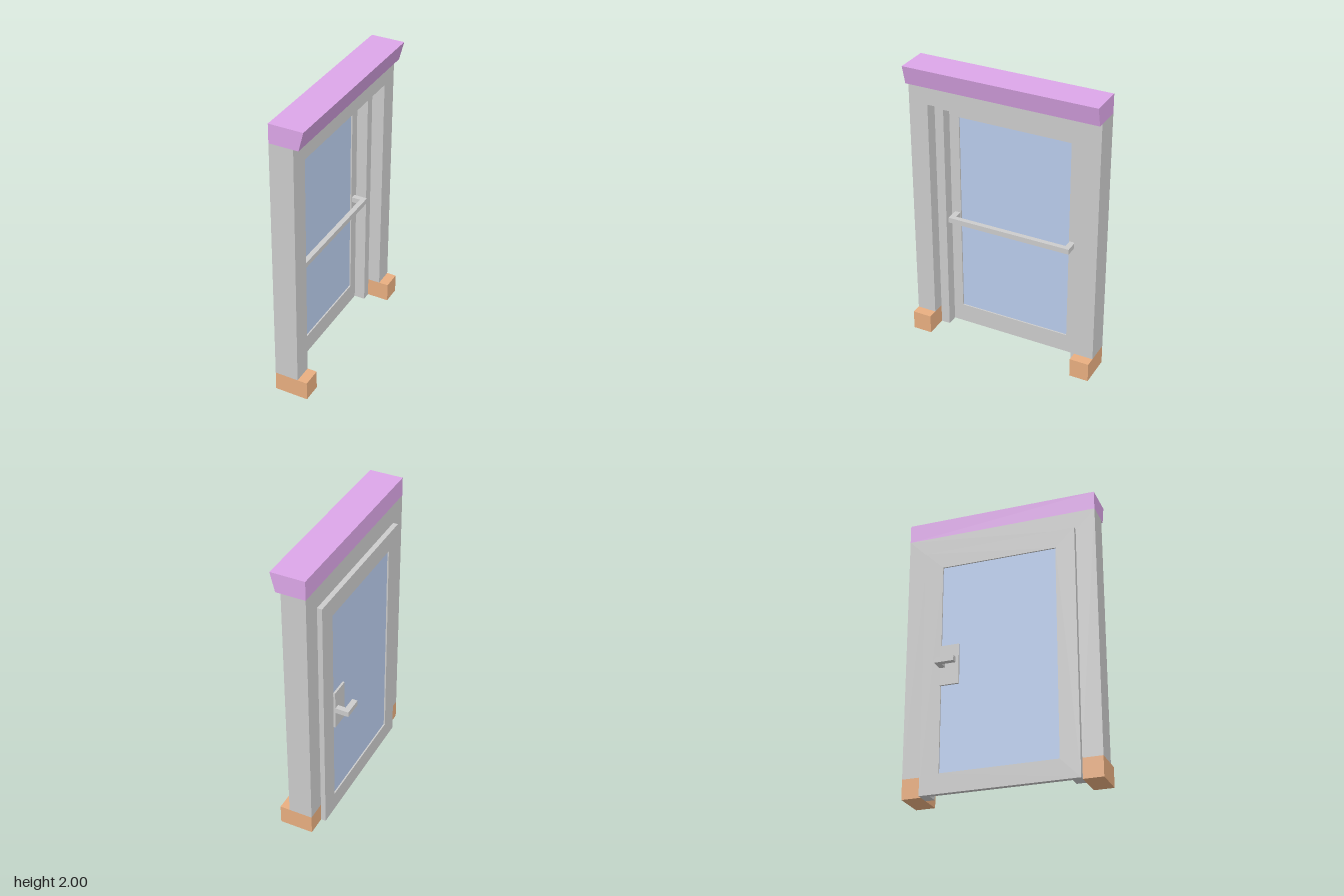
import * as THREE from 'three';

const grey = new THREE.MeshStandardMaterial({ color: 0xcccccc });
const purple = new THREE.MeshStandardMaterial({ color: 0xdca6e8 });
const orange = new THREE.MeshStandardMaterial({ color: 0xe8ae80 });
const blue = new THREE.MeshStandardMaterial({ color: 0xb8cbeb });

export function createModel() {
  const door = new THREE.Group();
  door.name = 'door';

  const add = (name, geometry, material = grey) => {
    const mesh = new THREE.Mesh(geometry, material);
    mesh.name = name;
    door.add(mesh);
  };

  // Box given by its limits on each axis
  const box = (name, [x0, x1], [y0, y1], [z0, z1], material) => {
    const g = new THREE.BoxGeometry(x1 - x0, y1 - y0, z1 - z0);
    g.translate((x0 + x1) / 2, (y0 + y1) / 2, (z0 + z1) / 2);
    add(name, g, material);
  };

  // Outline in the plane of the door, extruded through its thickness
  const panel = (name, points, [x0, x1], hole) => {
    const toVectors = (list) => list.map(([a, b]) => new THREE.Vector2(a, b));
    const shape = new THREE.Shape(toVectors(points));
    if (hole) shape.holes.push(new THREE.Path(toVectors(hole)));
    const g = new THREE.ExtrudeGeometry(shape, { depth: x1 - x0, bevelEnabled: false });
    g.rotateY(Math.PI / 2).translate(x0, 0, 0);
    add(name, g);
  };

  const rect = (w, y0, y1) => [[-w, y0], [w, y0], [w, y1], [-w, y1]];
  // Upside-down U: outer half width and top, inner half width and top
  const arch = (W, T, w, t, y0) => [
    [-W, y0], [-w, y0], [-w, t], [w, t], [w, y0], [W, y0], [W, T], [-W, T],
  ];

  // Wall frame and the inner stop that the leaf closes against
  panel('frame', arch(0.667, 1.87, 0.533, 1.735, 0.135), [-0.047, 0.117]);
  panel('doorStop', arch(0.533, 1.735, 0.47, 1.675, 0), [-0.047, 0.03]);

  // Leaf with a glazed opening
  panel('leaf', rect(0.533, 0, 1.735), [-0.081, -0.047], rect(0.4, 0.135, 1.605));
  box('glass', [-0.071, -0.057], [0.135, 1.605], [-0.4, 0.4], blue);

  // Head moulding with a sloping outer face
  const head = new THREE.Shape([
    new THREE.Vector2(-0.047, 1.87), new THREE.Vector2(0.152, 1.87),
    new THREE.Vector2(0.185, 2), new THREE.Vector2(-0.047, 2),
  ]);
  const headGeometry = new THREE.ExtrudeGeometry(head, { depth: 1.334, bevelEnabled: false });
  add('headMoulding', headGeometry.translate(0, 0, -0.667), purple);

  // Plinth blocks under the jambs, and push bar brackets
  for (const s of [-1, 1]) {
    const span = (a, b) => [s * a, s * b].sort((p, q) => p - q);
    box('plinthBlock', [-0.047, 0.185], [0, 0.135], span(0.533, 0.667), orange);
    box('pushBarBracket', [-0.047, 0.015], [0.853, 0.89], span(0.405, 0.443));
  }
  box('pushBar', [0.015, 0.05], [0.853, 0.89], [-0.443, 0.443]);

  // Lever handle on the other face
  box('handlePlate', [-0.095, -0.081], [0.73, 1.01], [-0.403, -0.27]);
  box('handleArm', [-0.149, -0.095], [0.853, 0.89], [-0.403, -0.365]);
  box('handleLever', [-0.187, -0.149], [0.853, 0.89], [-0.403, -0.27]);

  return door;
}
